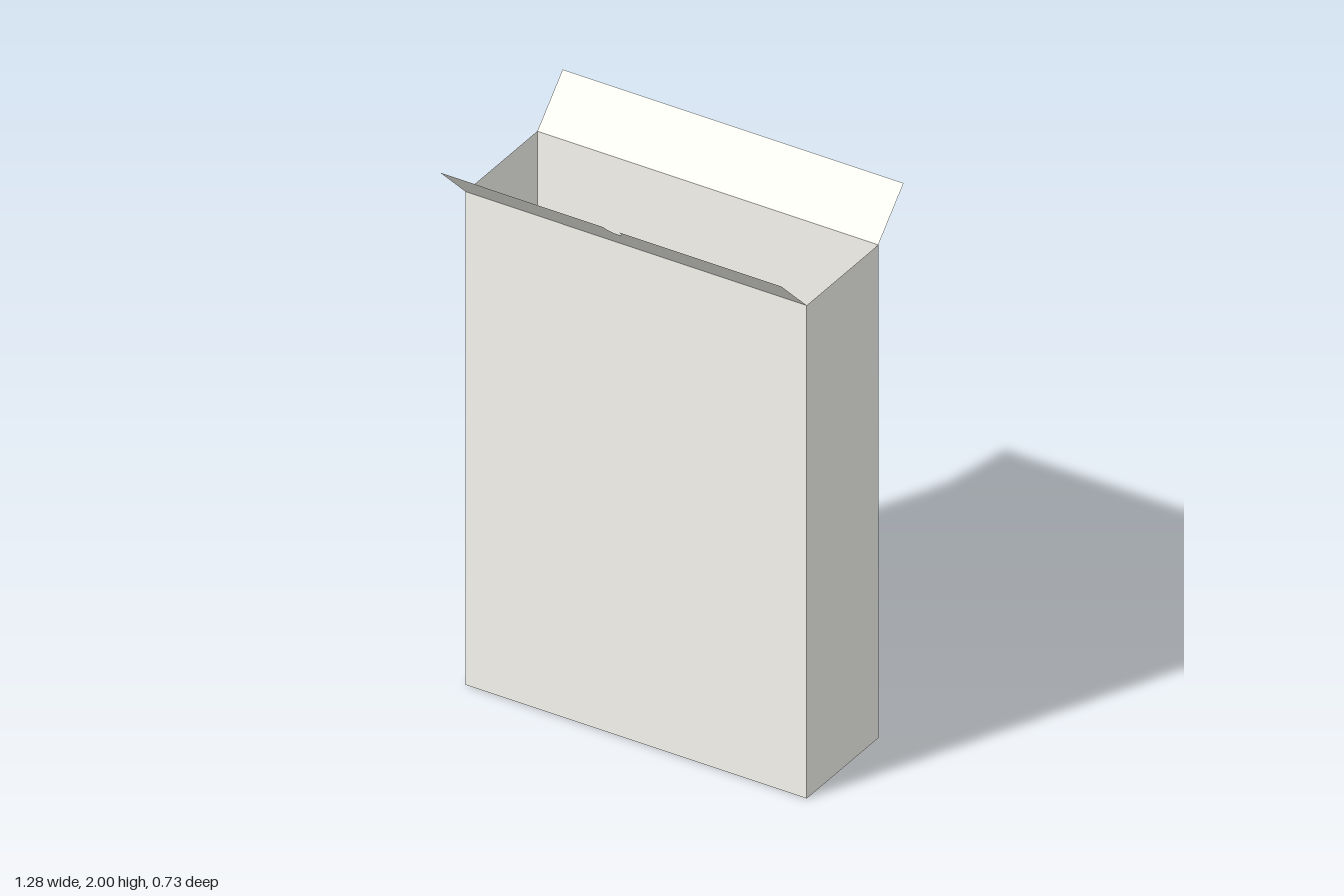
import * as THREE from 'three';

const W = 1.28, D = 0.428, H = 1.85; // carton width, depth, wall height
const FLAP = 0.214;                  // flap length along its slope

export function createModel() {
  const box = new THREE.Group();
  box.name = 'openCarton';
  const card = new THREE.MeshStandardMaterial({ color: 0xf8f7f1, side: THREE.DoubleSide });

  const add = (name, geometry, position, rotation = [0, 0, 0]) => {
    const mesh = new THREE.Mesh(geometry, card);
    mesh.name = name;
    mesh.position.set(...position);
    mesh.rotation.set(...rotation);
    box.add(mesh);
  };

  // Thin walls and base
  const wide = new THREE.PlaneGeometry(W, H);
  const narrow = new THREE.PlaneGeometry(D, H);
  add('frontWall', wide, [0, H / 2, D / 2]);
  add('backWall', wide, [0, H / 2, -D / 2], [0, Math.PI, 0]);
  add('leftWall', narrow, [W / 2, H / 2, 0], [0, Math.PI / 2, 0]);
  add('rightWall', narrow, [-W / 2, H / 2, 0], [0, -Math.PI / 2, 0]);
  add('base', new THREE.PlaneGeometry(W, D), [0, 0, 0], [Math.PI / 2, 0, 0]);

  // Back flap, opened outwards at 45 degrees
  const plainFlap = new THREE.PlaneGeometry(W, FLAP).translate(0, FLAP / 2, 0);
  add('backFlap', plainFlap, [0, H, -D / 2], [-Math.PI / 4, 0, 0]);

  // Front flap with a round-bottomed thumb notch in its free edge
  const rx = 0.029, ry = 0.041, straight = 0.013;
  const outline = new THREE.Shape();
  outline.moveTo(-W / 2, 0);
  outline.lineTo(W / 2, 0);
  outline.lineTo(W / 2, FLAP);
  outline.lineTo(rx, FLAP);
  outline.lineTo(rx, FLAP - straight);
  outline.absellipse(0, FLAP - straight, rx, ry, 0, -Math.PI, true);
  outline.lineTo(-rx, FLAP);
  outline.lineTo(-W / 2, FLAP);
  outline.closePath();
  add('frontFlap', new THREE.ShapeGeometry(outline, 16), [0, H, D / 2], [Math.PI / 4, 0, 0]);

  // Glue tab folded back from the front wall, just inside the left wall
  const tabWidth = 0.08, tabInset = 0.065;
  add('glueTab', new THREE.PlaneGeometry(tabWidth, H - 2 * tabInset),
    [W / 2 - 0.014, H / 2, D / 2 - tabWidth / 2], [0, -Math.PI / 2, 0]);

  return box;
}
